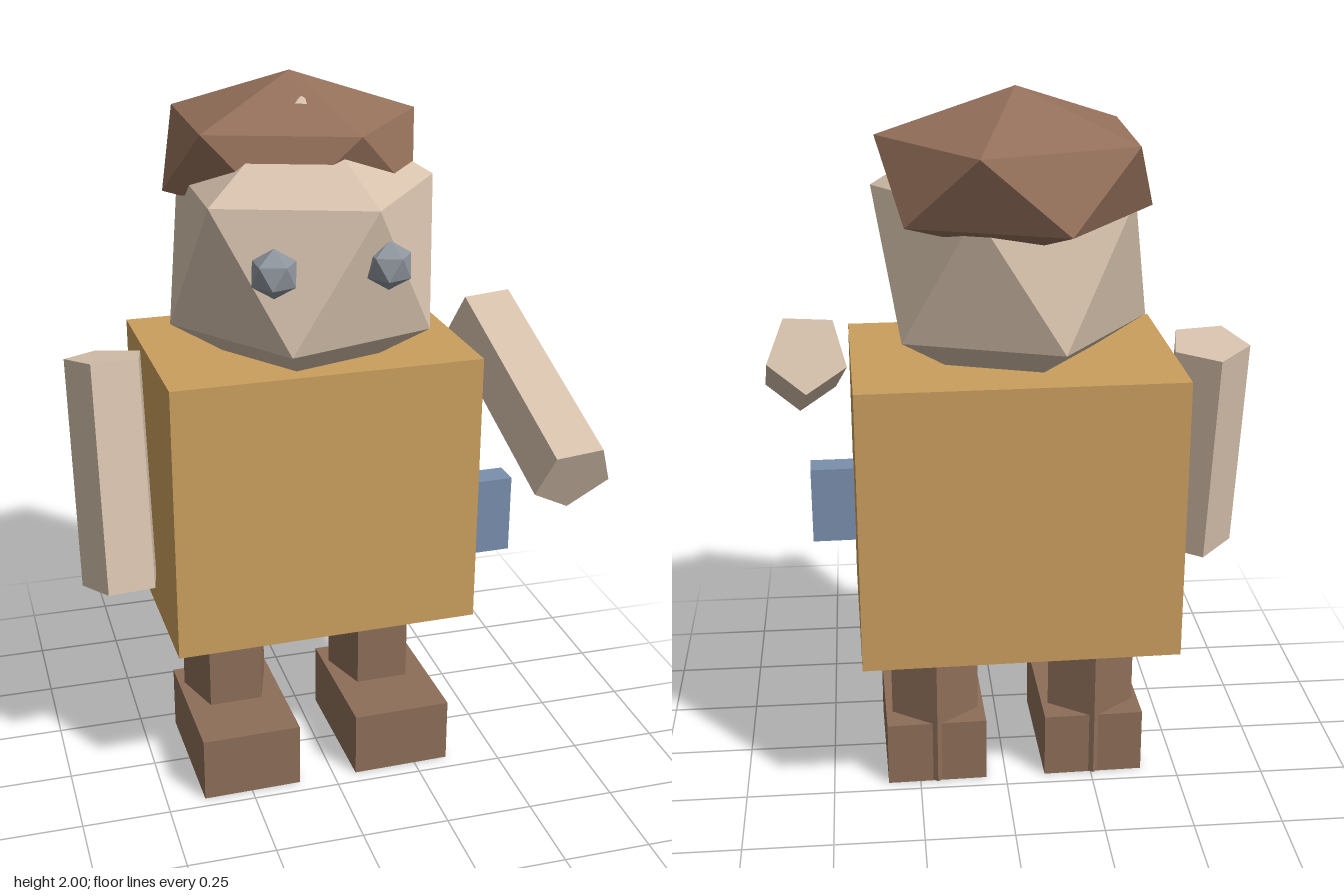
import * as THREE from 'three';

const YAW = 0.02; // the whole figure is turned very slightly

function material(name, color) {
  const m = new THREE.MeshStandardMaterial({ color });
  m.name = name;
  return m;
}

// Icosahedron standing on one corner, flat shaded
function gem(radius, squash = 1) {
  const g = new THREE.IcosahedronGeometry(radius, 0);
  g.rotateZ(-Math.atan(2 / (1 + Math.sqrt(5))));
  g.scale(1, squash, 1);
  g.computeVertexNormals();
  return g;
}

// Five-sided prism with a flat side towards +z, flat shaded
function prism(radius, length) {
  const g = new THREE.CylinderGeometry(radius, radius, length, 5).toNonIndexed();
  g.rotateY(Math.PI);
  g.computeVertexNormals();
  return g;
}

export function createModel() {
  const model = new THREE.Group();
  model.name = 'figure';

  const tan = material('tan cloth', 0xcb9f5e);
  const skin = material('pale skin', 0xd7c2ad);
  const brown = material('brown leather', 0x8d6e58);
  const hairBrown = material('brown hair', 0x94705a);
  const grey = material('grey eyes', 0x8e949d);
  const blue = material('blue pouch', 0x7a90ae);

  function add(name, geometry, mat, position, rotation = [0, YAW, 0]) {
    const mesh = new THREE.Mesh(geometry, mat);
    mesh.name = name;
    mesh.position.set(...position);
    mesh.rotation.set(...rotation);
    model.add(mesh);
  }

  // Torso and the pouch on its left side
  add('body', new THREE.BoxGeometry(0.87, 0.79, 0.605), tan, [-0.023, 0.875, -0.091]);
  add('pouch', new THREE.BoxGeometry(0.16, 0.225, 0.077), blue, [0.46, 0.763, 0.109]);

  // Legs run down through the heels of the feet
  for (const [side, x, dz] of [['right', -0.254, 0.004], ['left', 0.202, -0.004]]) {
    add(side + 'Leg', prism(0.131, 0.6), brown, [x, 0.302, -0.086 + dz]);
    add(side + 'Foot', new THREE.BoxGeometry(0.285, 0.19, 0.415), brown, [x + 0.002, 0.095, dz]);
  }

  // Arms: the right one hangs, the left one reaches forward
  const arm = prism(0.113, 0.645);
  add('rightArm', arm, skin, [-0.571, 0.957, -0.02], [-0.175, 0.125, 0]);
  add('leftArm', arm, skin, [0.549, 1.153, 0.197], [-1.149, -0.05, 0.068]);

  // Head, hair and eyes
  add('head', gem(0.413), skin, [-0.024, 1.542, -0.055], [0, -0.012, 0]);
  add('hair', gem(0.398, 0.536), hairBrown, [-0.022, 1.787, -0.191], [0, -0.012, 0]);
  add('rightEye', gem(0.066), grey, [-0.182, 1.576, 0.264]);
  add('leftEye', gem(0.066), grey, [0.121, 1.576, 0.266]);

  return model;
}
